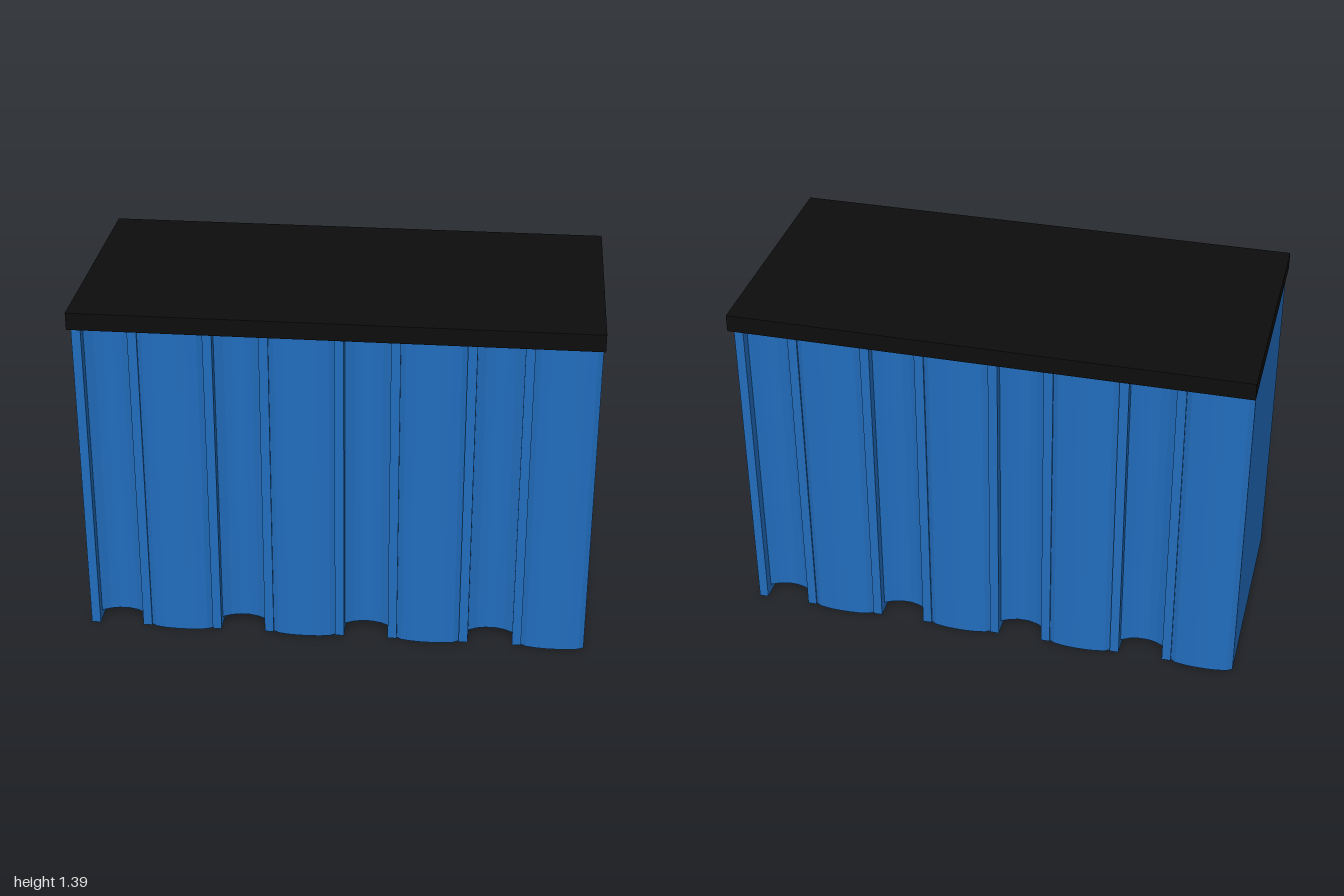
import * as THREE from 'three';

const COUNT = 8, W = 0.2488, H = 1.33, T = 0.036;
const blue = new THREE.MeshStandardMaterial({ color: 0x216cbc, flatShading: true });
const black = new THREE.MeshStandardMaterial({ color: 0x0d0d0d, flatShading: true });

// Extrude a plan outline (x, z) upwards from y0 to y1
function upright(points, y0, y1) {
  const shape = new THREE.Shape(points.map(([x, z]) => new THREE.Vector2(x, z)));
  const geometry = new THREE.ExtrudeGeometry(shape, { depth: y1 - y0, bevelEnabled: false });
  return geometry.rotateX(Math.PI / 2).translate(0, y1, 0);
}

// Add the mirrored half to a list of points running from +x towards the centre
const mirrored = (half) => [...half, ...half.map(([x, z]) => [-x, z]).reverse()];

// Covers joined by a rounded spine at +z, open at -z
function coverGeometry() {
  const h = W / 2, inner = h - T;
  const outside = mirrored([[h, -0.44], [h, 0.432], [h - 0.02, 0.445], [0.065, 0.452], [0.025, 0.455]]);
  const inside = mirrored([[inner, -0.44], [inner, 0.405], [0.05, 0.416], [0.02, 0.42]]);
  return upright([...outside, ...inside.reverse()], 0, H);
}

// Page block: follows the spine at +z, hollow fore edge at -z
function pagesGeometry() {
  const inner = W / 2 - T;
  const spineEnd = mirrored([[inner, 0.405], [0.05, 0.416], [0.02, 0.42]]);
  const foreEdge = mirrored([[inner, -0.40], [0.055, -0.382], [0.02, -0.373]]);
  return upright([...spineEnd, ...foreEdge.reverse()], 0.033, 1.318);
}

export function createModel() {
  const model = new THREE.Group();
  model.name = 'bookBench';
  const cover = coverGeometry(), pages = pagesGeometry();

  // Row of upright books, turned alternately to back and front
  for (let i = 0; i < COUNT; i++) {
    const book = new THREE.Group();
    book.name = `book${i + 1}`;
    const coverMesh = new THREE.Mesh(cover, blue);
    coverMesh.name = 'cover';
    const pagesMesh = new THREE.Mesh(pages, blue);
    pagesMesh.name = 'pages';
    book.add(coverMesh, pagesMesh);
    book.position.x = (i - (COUNT - 1) / 2) * W;
    if (i % 2 === 0) book.rotation.y = Math.PI;
    model.add(book);
  }

  // Flat top board
  const top = new THREE.Mesh(new THREE.BoxGeometry(2, 0.068, 0.98), black);
  top.name = 'topBoard';
  top.position.y = 1.36;
  model.add(top);
  return model;
}
